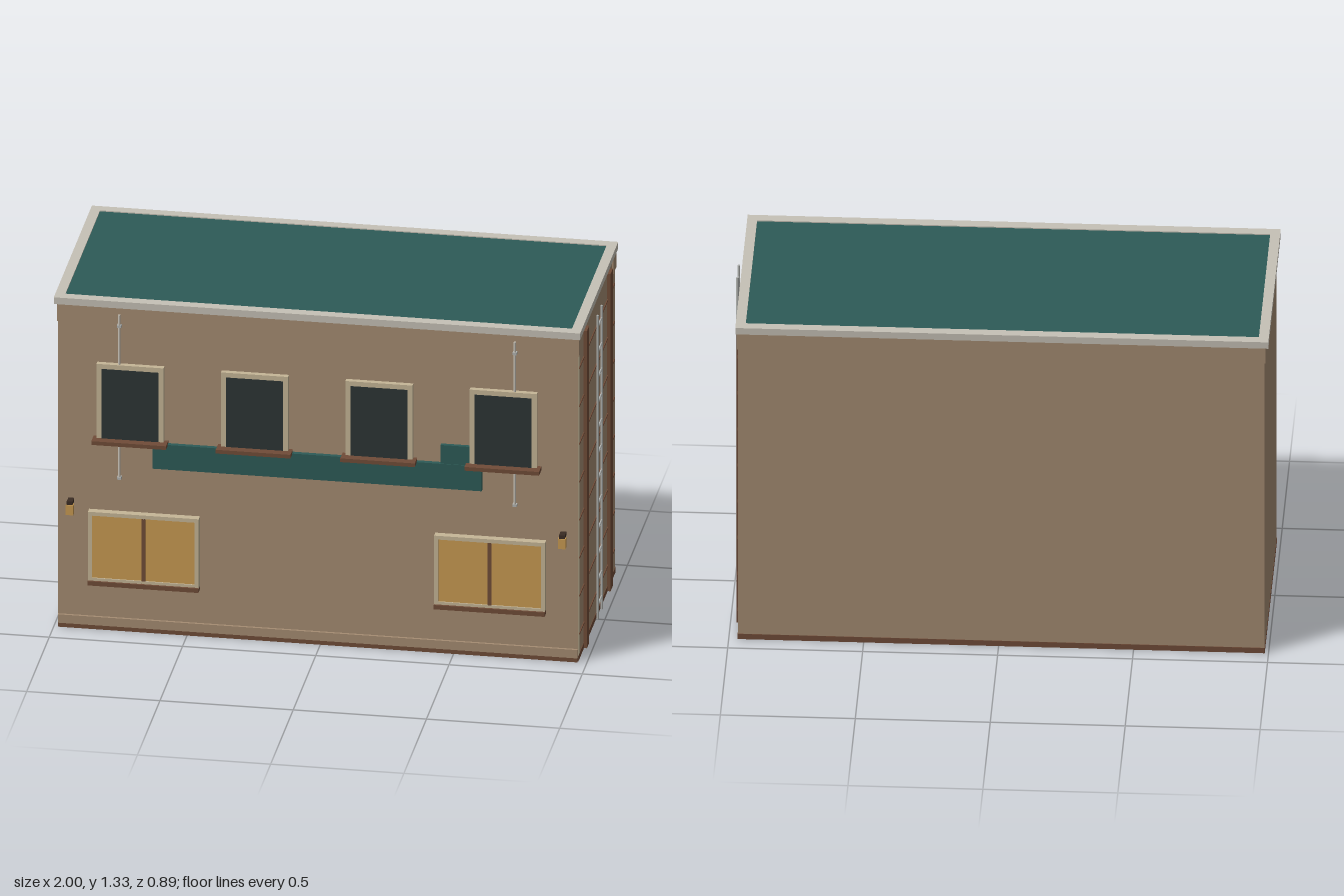
import * as THREE from 'three';

const mat = (name, color) => {
  const m = new THREE.MeshStandardMaterial({ color });
  m.name = name;
  return m;
};

export function createModel() {
  const tan = mat('tan plaster', 0xa58c72);
  const cream = mat('cream frame', 0xc6b697);
  const stone = mat('pale stone', 0xc6c1b6);
  const teal = mat('teal', 0x2d5b57);
  const glass = mat('dark glass', 0x2d3535);
  const gold = mat('amber', 0xc89a52);
  const brown = mat('brown wood', 0x704c38);
  const dark = mat('dark bronze', 0x3a2c23);
  const steel = mat('ladder steel', 0xb3b5b2);

  const model = new THREE.Group();
  model.name = 'building';

  // Box given by its minimum and maximum corners
  const box = (name, m, x0, x1, y0, y1, z0, z1, parent = model) => {
    const mesh = new THREE.Mesh(new THREE.BoxGeometry(x1 - x0, y1 - y0, z1 - z0), m);
    mesh.position.set((x0 + x1) / 2, (y0 + y1) / 2, (z0 + z1) / 2);
    mesh.name = name;
    parent.add(mesh);
    return mesh;
  };
  const rod = (name, m, r, length, x, y, z, parent, alongZ = false) => {
    const mesh = new THREE.Mesh(new THREE.CylinderGeometry(r, r, length, 8), m);
    if (alongZ) mesh.rotation.x = Math.PI / 2;
    mesh.position.set(x, y, z);
    mesh.name = name;
    parent.add(mesh);
  };
  const group = (name) => {
    const g = new THREE.Group();
    g.name = name;
    model.add(g);
    return g;
  };
  // Rectangular frame made of four bars
  const frame = (m, x0, x1, y0, y1, z0, z1, t, parent) => {
    box('frameSide', m, x0, x0 + t, y0, y1, z0, z1, parent);
    box('frameSide', m, x1 - t, x1, y0, y1, z0, z1, parent);
    box('frameTop', m, x0 + t, x1 - t, y1 - t, y1, z0, z1, parent);
    box('frameBottom', m, x0 + t, x1 - t, y0, y0 + t, z0, z1, parent);
  };

  // Walls and base
  box('walls', tan, -0.985, 0.965, 0.022, 1.31, -0.43, 0.39);
  box('baseSlab', brown, -0.986, 0.967, 0, 0.022, -0.432, 0.392);
  box('frontPlinth', tan, -0.985, 0.965, 0.016, 0.05, 0.39, 0.4);
  box('plinthFoot', brown, -0.985, 0.965, 0, 0.016, 0.39, 0.4);
  box('cornerStrip', cream, 0.965, 0.967, 0.022, 1.3, 0.355, 0.39);
  box('topStrip', cream, 0.965, 0.967, 1.297, 1.307, -0.43, 0.39);

  // Roof with its coping
  box('roof', teal, -0.965, 0.94, 1.305, 1.329, -0.41, 0.36);
  const coping = group('coping');
  box('copingFront', stone, -1, 0.975, 1.306, 1.333, 0.36, 0.4, coping);
  box('copingBack', stone, -1, 0.975, 1.306, 1.333, -0.445, -0.407, coping);
  box('copingLeft', stone, 0.938, 0.975, 1.306, 1.333, -0.407, 0.36, coping);
  box('copingRight', stone, -1, -0.963, 1.306, 1.333, -0.407, 0.36, coping);

  // Corner blocks below the coping
  for (const [x0, x1] of [[-0.989, -0.925], [0.905, 0.97]]) {
    box('cornerBlock', tan, x0, x1, 1.236, 1.306, 0.33, 0.396);
    box('cornerBlock', tan, x0, x1, 1.236, 1.306, -0.434, -0.37);
  }

  // Upper windows
  for (const x of [-0.712, -0.245, 0.222, 0.688]) {
    const w = group('upperWindow');
    frame(cream, x - 0.126, x + 0.126, 0.775, 1.08, 0.39, 0.41, 0.02, w);
    box('pane', glass, x - 0.107, x + 0.107, 0.78, 1.061, 0.402, 0.411, w);
    box('sill', brown, x - 0.14, x + 0.14, 0.765, 0.78, 0.39, 0.443, w);
  }

  // Lower windows with a centre post
  for (const x of [-0.661, 0.638]) {
    const w = group('lowerWindow');
    frame(cream, x - 0.208, x + 0.208, 0.2, 0.482, 0.39, 0.418, 0.015, w);
    box('leftPane', gold, x + 0.006, x + 0.193, 0.205, 0.468, 0.405, 0.413, w);
    box('rightPane', gold, x - 0.193, x - 0.006, 0.205, 0.468, 0.405, 0.413, w);
    box('post', brown, x - 0.007, x + 0.007, 0.205, 0.468, 0.39, 0.418, w);
    box('sill', brown, x - 0.208, x + 0.208, 0.187, 0.204, 0.39, 0.426, w);
  }

  // Sign boards
  box('signBand', teal, -0.628, 0.607, 0.67, 0.77, 0.39, 0.408);
  box('signTab', teal, 0.452, 0.575, 0.77, 0.845, 0.39, 0.405);

  // Rain pipes and wall lamps
  for (const x of [-0.754, 0.73]) {
    const p = group('rainPipe');
    rod('pipe', stone, 0.005, 0.665, x, 0.948, 0.4, p);
    for (const y of [0.62, 1.235]) box('clip', steel, x - 0.008, x + 0.008, y - 0.005, y + 0.005, 0.39, 0.407, p);
  }
  for (const x of [-0.936, 0.911]) {
    const l = group('wallLamp');
    box('lantern', gold, x - 0.014, x + 0.014, 0.468, 0.508, 0.408, 0.43, l);
    box('cap', dark, x - 0.011, x + 0.011, 0.508, 0.522, 0.39, 0.427, l);
  }

  // Timber posts and plank lines on the left wall
  box('timberPost', brown, 0.965, 0.978, 0, 1.285, 0.217, 0.267);
  box('timberPost', brown, 0.965, 0.978, 0, 1.285, -0.309, -0.257);
  for (let i = 0; i < 8; i++) {
    const y = 0.104 + i * 0.1538;
    box('plankLine', brown, 0.965, 0.969, y - 0.003, y + 0.003, -0.41, 0.372);
  }

  // Ladder
  const ladder = group('ladder');
  for (const z of [0.02, 0.112]) rod('rail', steel, 0.005, 1.23, 0.992, 0.667, z, ladder);
  for (let i = 0; i < 12; i++) rod('rung', steel, 0.004, 0.092, 0.992, 0.106 + i * 0.1025, 0.066, ladder, true);

  return model;
}
